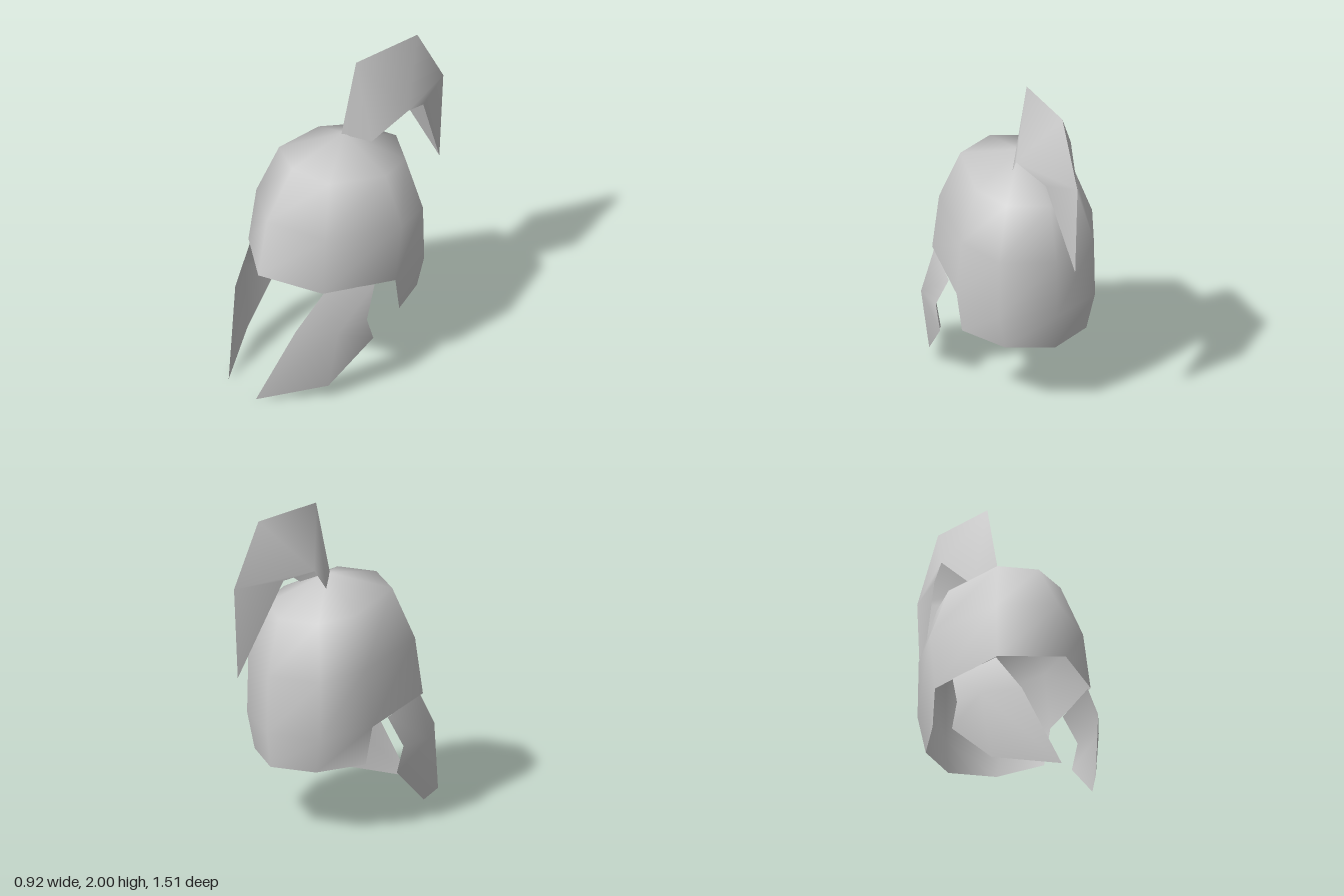
import * as THREE from 'three';

const material = new THREE.MeshStandardMaterial({ color: 0xcccccc, side: THREE.DoubleSide });

// Smooth-shaded sheet from corner points and triangles; flip reverses the facing.
function sheet(name, points, faces, flip = false) {
  const geometry = new THREE.BufferGeometry();
  geometry.setAttribute('position', new THREE.Float32BufferAttribute(points.flat(), 3));
  geometry.setIndex(faces.flatMap(([a, b, c]) => (flip ? [a, c, b] : [a, b, c])));
  geometry.computeVertexNormals();
  const mesh = new THREE.Mesh(geometry, material);
  mesh.name = name;
  return mesh;
}

const mirrored = (points, side) => points.map(([x, y, z]) => [x * side, y, z]);

// Bowl with a pointed brow and a longer neck guard at the back.
function buildBowl() {
  // Half rings from the middle of the front, around the left, to the middle of the back.
  const halfRings = [
    [[0, 1.44, 0.38], [0.24, 1.425, 0.29], [0.32, 1.37, -0.07], [0.23, 1.345, -0.29], [0, 1.34, -0.4]],
    [[0, 1.14, 0.57], [0.33, 1.11, 0.39], [0.435, 1.06, -0.1], [0.315, 1.01, -0.355], [0, 1, -0.485]],
    [[0, 0.78, 0.635], [0.355, 0.755, 0.43], [0.44, 0.69, -0.05], [0.32, 0.65, -0.36], [0, 0.64, -0.49]],
    [[0, 0, 0], [0, 0, 0], [0.425, 0.46, -0.09], [0.27, 0.43, -0.345], [0, 0.42, -0.465]],
  ];
  const points = [[0, 1.535, -0.01]];
  for (const half of halfRings) {
    points.push(...half, ...mirrored(half.slice(1, 4).reverse(), -1));
  }
  const at = (ring, i) => 1 + ring * 8 + (i % 8);
  const faces = [];
  for (let i = 0; i < 8; i++) {
    faces.push([0, at(0, i), at(0, i + 1)]);
    for (let r = 0; r < 3; r++) {
      // The lowest band only runs around the back.
      if (r === 2 && (i < 2 || i > 5)) continue;
      faces.push([at(r + 1, i), at(r + 1, i + 1), at(r, i + 1)]);
      faces.push([at(r + 1, i), at(r, i + 1), at(r, i)]);
    }
  }
  return sheet('bowl', points, faces);
}

// One half of the folded plume, from its ridge to its free edge.
function buildCrestHalf(side) {
  const ridge = [[0, 1.53, 0.01], [0, 2, -0.1], [0, 2, -0.56], [0, 1.62, -0.755], [0, 1.05, -0.725]];
  const edge = side > 0
    ? [[0.11, 1.475, -0.13], [0.195, 1.655, -0.34], [0.095, 1.56, -0.53]]
    : [[-0.1, 1.485, -0.11], [-0.195, 1.67, -0.29], [-0.11, 1.63, -0.46]];
  const faces = [[0, 5, 1], [1, 5, 6], [1, 6, 2], [2, 6, 3], [3, 6, 7], [3, 7, 4]];
  return sheet(side > 0 ? 'leftCrest' : 'rightCrest', [...ridge, ...edge], faces, side < 0);
}

// Cheek guard: a slightly bulged plate fanned around its middle point.
function buildCheekGuard(side) {
  const points = [
    [0.45, 0.5, 0.39],
    [0.35, 0.755, 0.41], [0.29, 0.51, 0.58], [0.13, 0.005, 0.755], [0.385, 0.095, 0.41],
    [0.457, 0.36, 0.13], [0.46, 0.515, 0.18], [0.42, 0.71, 0.09],
  ];
  const faces = [];
  for (let i = 0; i < 7; i++) faces.push([0, 1 + i, 1 + ((i + 1) % 7)]);
  return sheet(side > 0 ? 'leftCheekGuard' : 'rightCheekGuard', mirrored(points, side), faces, side < 0);
}

export function createModel() {
  const helmet = new THREE.Group();
  helmet.name = 'helmet';
  helmet.add(buildBowl());

  const crest = new THREE.Group();
  crest.name = 'crest';
  for (const side of [1, -1]) {
    crest.add(buildCrestHalf(side));
    helmet.add(buildCheekGuard(side));
  }
  helmet.add(crest);
  return helmet;
}
